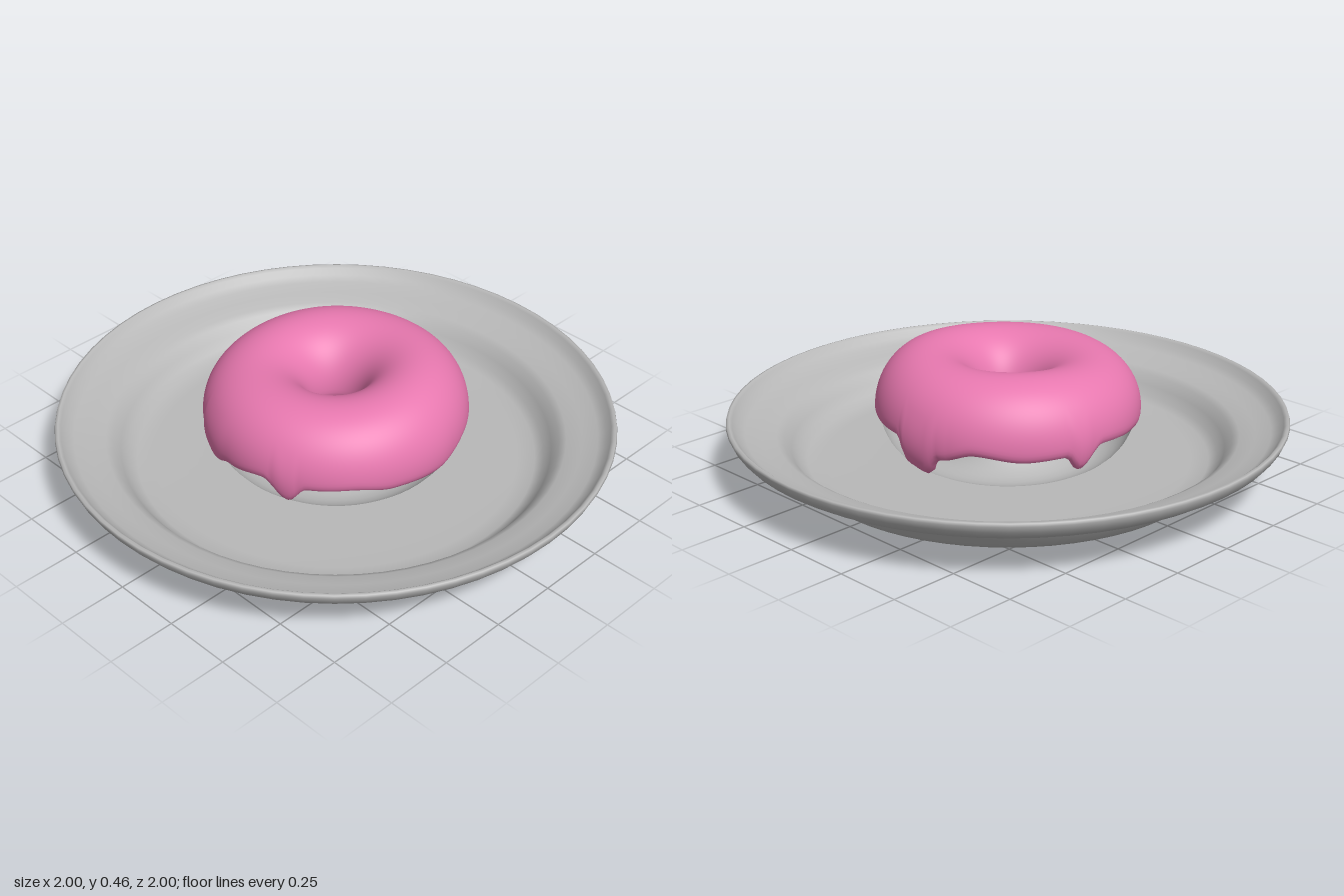
import * as THREE from 'three';
import { ParametricGeometry } from 'three/addons/geometries/ParametricGeometry.js';

const RING = 0.283;        // radius of the ring's centre line
const MID_Y = 0.24;        // height of the ring's centre line
const TUBE_W = 0.175;      // half width of the dough
const TUBE_H = 0.188;      // half height of the dough

// Lower icing edge: [degrees from the front towards the left side, height]
const EDGE = [
  [6, 0.167], [28, 0.205], [45, 0.2], [62, 0.212], [80, 0.215], [87, 0.115], [96, 0.1], [104, 0.17],
  [120, 0.21], [143, 0.185], [160, 0.19], [167, 0.13], [178, 0.21], [200, 0.195], [219, 0.18],
  [233, 0.2], [240, 0.14], [249, 0.13], [263, 0.18], [283, 0.21], [294, 0.13], [303, 0.2],
  [322, 0.205], [341, 0.18],
];

// Smoothly interpolated edge height at an angle in degrees
function edgeHeight(deg) {
  const n = EDGE.length;
  const d = deg < EDGE[0][0] ? deg + 360 : deg;
  let i = n - 1;
  while (EDGE[i][0] > d) i--;
  const [a0, y0] = EDGE[i];
  const [a1, y1] = i === n - 1 ? [EDGE[0][0] + 360, EDGE[0][1]] : EDGE[i + 1];
  return THREE.MathUtils.lerp(y0, y1, THREE.MathUtils.smoothstep(d, a0, a1));
}

// Point on the ring's skin, pushed out by an offset
function ringPoint(azimuth, phi, offset, target) {
  const r = RING + (TUBE_W + offset) * Math.cos(phi);
  const top = Math.max(0, Math.sin(phi));
  const wave = top * (0.011 * Math.cos(azimuth - Math.PI / 4) + 0.003 * Math.sin(3 * azimuth));
  target.set(
    r * Math.sin(azimuth),
    MID_Y + (TUBE_H + offset) * Math.sin(phi) + wave,
    r * Math.cos(azimuth),
  );
}

function makePlate(material) {
  // One closed profile: underside, outer wall, rim, then the inside
  const profile = [
    [0, 0], [0.45, 0.003], [0.68, 0.01], [0.725, 0.014], [0.75, 0.032], [0.78, 0.075],
    [0.805, 0.108], [0.83, 0.12], [0.89, 0.132], [0.94, 0.148], [0.972, 0.168], [0.99, 0.19],
    [1, 0.213], [0.997, 0.223], [0.988, 0.225], [0.978, 0.217], [0.962, 0.194], [0.935, 0.178],
    [0.88, 0.165], [0.825, 0.152], [0.8, 0.138], [0.775, 0.105], [0.75, 0.072], [0.72, 0.054],
    [0.66, 0.048], [0.45, 0.046], [0, 0.046],
  ].map(([x, y]) => new THREE.Vector2(x, y));
  const plate = new THREE.Mesh(new THREE.LatheGeometry(profile, 64), material);
  plate.name = 'plate';
  return plate;
}

function makeDough(material) {
  const geometry = new ParametricGeometry((u, v, target) => {
    ringPoint(u * Math.PI * 2, -v * Math.PI * 2, 0, target);
  }, 64, 32);
  // Reverse the sweep so the skin faces outward
  const dough = new THREE.Mesh(geometry, material);
  dough.name = 'dough';
  return dough;
}

function makeIcing(material) {
  const innerPhi = Math.PI + 0.25;
  const geometry = new ParametricGeometry((u, v, target) => {
    const azimuth = u * Math.PI * 2;
    const y = edgeHeight(u * 360);
    const outerPhi = Math.asin((y - MID_Y) / (TUBE_H + 0.016));
    // v runs from the inner edge in the hole over the top to the dripping edge
    const t = 1 - v;
    const phi = THREE.MathUtils.lerp(innerPhi, outerPhi, t);
    // Rounded lips tuck into the dough at both edges
    const k = Math.min(1, Math.min(t, 1 - t) / 0.06);
    const lip = Math.sqrt(1 - (1 - k) ** 2);
    // Drips hang a little thicker
    const drip = THREE.MathUtils.clamp((0.18 - y) / 0.08, 0, 1);
    const swell = 0.012 * drip * THREE.MathUtils.smoothstep(t, 0.72, 0.95);
    ringPoint(azimuth, phi, -0.004 + (0.02 + swell) * lip, target);
  }, 180, 56);
  const icing = new THREE.Mesh(geometry, material);
  icing.name = 'icing';
  return icing;
}

export function createModel() {
  const grey = new THREE.MeshStandardMaterial({ color: 0xb9b9b9 });
  grey.name = 'plain grey';
  const pink = new THREE.MeshStandardMaterial({ color: 0xe778af });
  pink.name = 'icing pink';

  const group = new THREE.Group();
  group.name = 'doughnutOnPlate';
  group.add(makePlate(grey), makeDough(grey), makeIcing(pink));
  return group;
}
